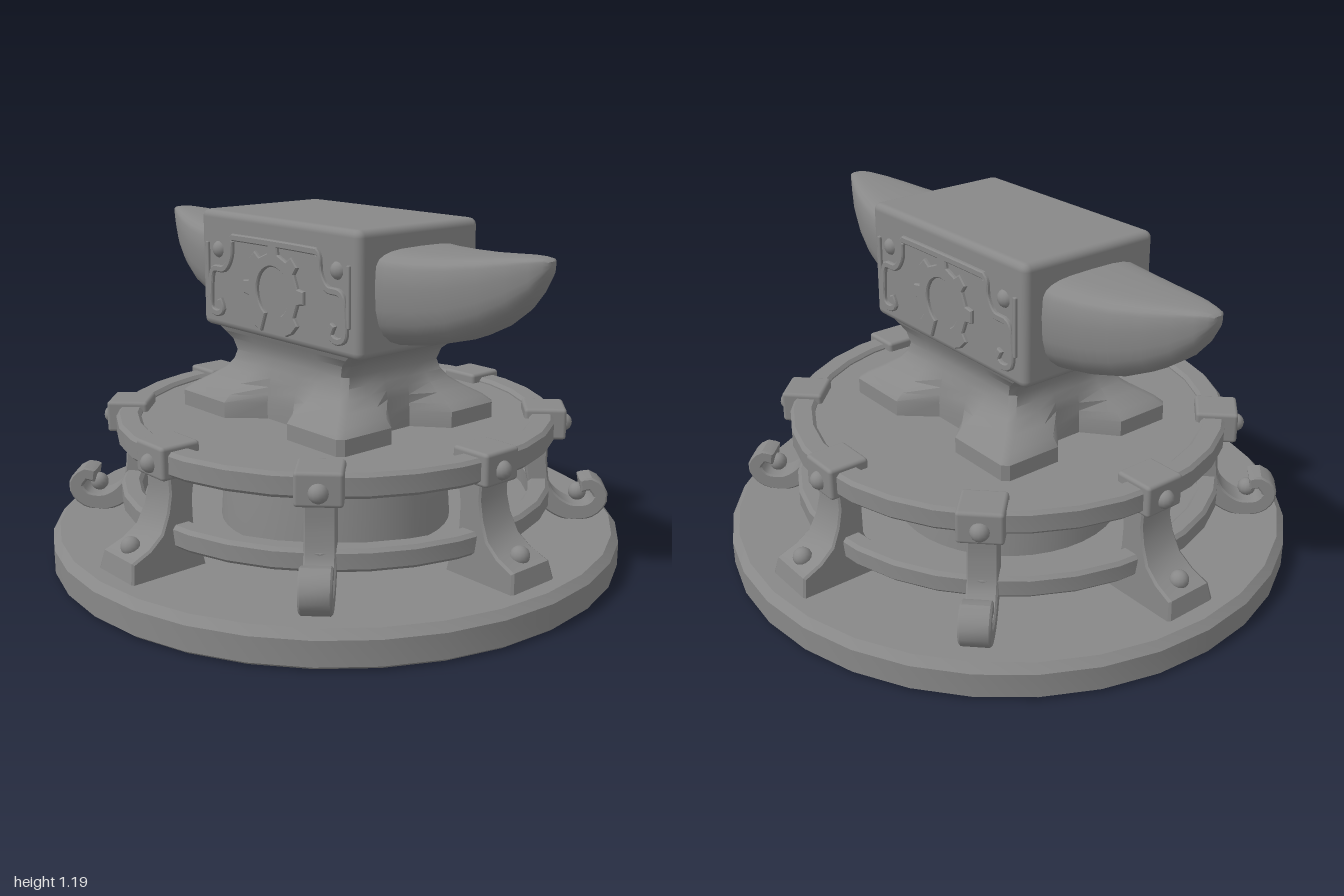
import * as THREE from 'three';
import { toCreasedNormals } from 'three/addons/utils/BufferGeometryUtils.js';
import { RoundedBoxGeometry } from 'three/addons/geometries/RoundedBoxGeometry.js';

const material = new THREE.MeshStandardMaterial({ color: 0x888888 });
const V2 = (p) => new THREE.Vector2(p[0], p[1]);

function add(parent, name, geometry, x = 0, y = 0, z = 0) {
  const mesh = new THREE.Mesh(geometry, material);
  mesh.name = name;
  mesh.position.set(x, y, z);
  parent.add(mesh);
  return mesh;
}

// Closed skin through equal-sized rings of points, capped at both ends
function loft(rings, crease) {
  const n = rings[0].length, pos = [], index = [];
  rings.forEach((ring) => ring.forEach((p) => pos.push(...p)));
  for (let k = 0; k < rings.length - 1; k++) {
    for (let i = 0; i < n; i++) {
      const a = k * n + i, a2 = k * n + (i + 1) % n;
      index.push(a, a + n, a2, a2, a + n, a2 + n);
    }
  }
  const last = (rings.length - 1) * n;
  [rings[0], rings[rings.length - 1]].forEach((ring, end) => {
    const c = pos.length / 3;
    pos.push(...[0, 1, 2].map((j) => ring.reduce((s, p) => s + p[j], 0) / n));
    for (let i = 0; i < n; i++) {
      const j = (i + 1) % n;
      if (end) index.push(c, last + j, last + i);
      else index.push(c, i, j);
    }
  });
  const g = new THREE.BufferGeometry();
  g.setAttribute('position', new THREE.Float32BufferAttribute(pos, 3));
  g.setIndex(index);
  return toCreasedNormals(g, crease);
}

// Flat ribbon outline following a smooth path, tapering from w0 to w1
function ribbon(points, w0, w1, steps = 32) {
  const curve = new THREE.SplineCurve(points.map(V2));
  const left = [], right = [];
  for (let i = 0; i <= steps; i++) {
    const t = i / steps, p = curve.getPointAt(t), d = curve.getTangentAt(t);
    const h = THREE.MathUtils.lerp(w0, w1, t) / 2;
    left.push(new THREE.Vector2(p.x - d.y * h, p.y + d.x * h));
    right.unshift(new THREE.Vector2(p.x + d.y * h, p.y - d.x * h));
  }
  return new THREE.Shape([...left, ...right]);
}

function extrude(shape, depth, bevel = 0.006) {
  const g = new THREE.ExtrudeGeometry(shape, {
    depth: depth - 2 * bevel, bevelEnabled: true, bevelSize: bevel,
    bevelThickness: bevel, bevelOffset: -bevel, bevelSegments: 1,
  });
  g.translate(0, 0, bevel - depth / 2);
  return toCreasedNormals(g, 0.6);
}

const turned = (profile, sides = 32) =>
  toCreasedNormals(new THREE.LatheGeometry(profile.map(V2), sides), 0.5);

function hoop(y0, y1, r0, r1) {
  const b = 0.012;
  return turned([[r0, y0], [r1 - b, y0], [r1, y0 + b], [r1, y1 - b], [r1 - b, y1],
    [r0 + b, y1], [r0, y1 - b], [r0, y0]]);
}

// Horseshoe-shaped cog: seven teeth, open at the bottom
function cogShape() {
  const pts = [], deg = Math.PI / 180;
  const polar = (a, r) => pts.push([Math.cos(a * deg) * r, Math.sin(a * deg) * r]);
  for (let k = 0; k < 7; k++) {
    const c = -45 + k * 45;
    polar(c - (k ? 12 : 20), k ? 0.13 : 0.155);
    polar(c - 8, 0.16);
    polar(c + 8, 0.16);
    polar(c + (k < 6 ? 12 : 20), k < 6 ? 0.13 : 0.155);
  }
  for (let i = 0; i <= 24; i++) polar(242 - i / 24 * 304, 0.085);
  return new THREE.Shape(pts.map(V2));
}

// Waist spreading into four feet parted by notches
function createWaist() {
  // height, half width, half depth, notch depth
  const levels = [[0.48, 0.43, 0.36, 0.11], [0.55, 0.43, 0.36, 0.11], [0.575, 0.405, 0.335, 0.088],
    [0.605, 0.362, 0.287, 0.046], [0.635, 0.326, 0.249, 0.014], [0.665, 0.304, 0.23, 0],
    [0.7, 0.295, 0.22, 0], [0.74, 0.31, 0.228, 0], [0.765, 0.34, 0.24, 0], [0.8, 0.385, 0.255, 0]];
  const rings = levels.map(([y, a, b, d]) => {
    const q = [[a - d, 0.05], [a, 0.14], [a, b - 0.02], [a - 0.02, b], [0.17, b], [0.07, b - d]];
    const r = [...q].reverse();
    return [...q, ...r.map(([x, z]) => [-x, z]), ...q.map(([x, z]) => [-x, -z]),
      ...r.map(([x, z]) => [x, -z])].map(([x, z]) => [x, y, z]);
  });
  return loft(rings, 0.75);
}

function createHorn() {
  // distance, half width, top, bottom
  const stations = [[0.36, 0.205, 1.125, 0.8], [0.45, 0.2, 1.118, 0.812], [0.55, 0.182, 1.118, 0.828],
    [0.65, 0.155, 1.122, 0.856], [0.75, 0.12, 1.13, 0.905], [0.83, 0.085, 1.137, 0.962],
    [0.89, 0.052, 1.14, 1.025], [0.925, 0.032, 1.138, 1.08], [0.936, 0.018, 1.13, 1.105]];
  const bend = (v, e) => Math.sign(v) * Math.abs(v) ** e;
  return loft(stations.map(([x, w, top, bottom]) => Array.from({ length: 24 }, (_, i) => {
    const a = i / 24 * Math.PI * 2, c = Math.cos(a);
    const mid = bottom + (top - bottom) * 0.65;
    const y = mid + bend(c, c > 0 ? 0.4 : 0.75) * (c > 0 ? top - mid : mid - bottom);
    return [x, y, -bend(Math.sin(a), 0.6) * w];
  })), 0.7);
}

export function createModel() {
  const model = new THREE.Group();
  model.name = 'anvilOnStand';

  // Stand
  add(model, 'base', turned([[0, 0], [0.985, 0], [1, 0.012], [1, 0.095], [0.975, 0.122], [0, 0.122]]));
  add(model, 'drum', turned([[0.41, 0.11], [0.4, 0.25], [0.375, 0.44]], 40));
  add(model, 'platform', turned([[0, 0.43], [0.695, 0.43], [0.695, 0.495], [0, 0.495]]));
  add(model, 'upperHoop', hoop(0.43, 0.512, 0.68, 0.765));
  add(model, 'lowerHoop', hoop(0.195, 0.27, 0.685, 0.757));

  // Eight legs: broad feet alternate with scrolled feet
  const ball = new THREE.SphereGeometry(0.032, 14, 10);
  const clamp = new RoundedBoxGeometry(0.145, 0.11, 0.15, 2, 0.012);
  const broadLeg = extrude(new THREE.Shape([[0.65, 0.43], [0.665, 0.34], [0.668, 0.26], [0.65, 0.2],
    [0.64, 0.115], [0.92, 0.115], [0.907, 0.185], [0.84, 0.212], [0.79, 0.25], [0.762, 0.31],
    [0.748, 0.37], [0.75, 0.43]].map(V2)), 0.13);
  const p = broadLeg.attributes.position;
  for (let i = 0; i < p.count; i++) {
    const t = THREE.MathUtils.clamp((0.43 - p.getY(i)) / 0.31, 0, 1);
    p.setZ(i, p.getZ(i) * (1 + 0.55 * t * t));
  }
  const scrollLeg = extrude(ribbon([[0.705, 0.44], [0.708, 0.32], [0.735, 0.215], [0.815, 0.152], [0.9, 0.155],
    [0.937, 0.205], [0.905, 0.25], [0.865, 0.243]], 0.085, 0.045), 0.1);
  for (let k = 0; k < 8; k++) {
    const leg = new THREE.Group();
    const broad = k % 2 === 0;
    const clampRadius = broad ? 0.708 : 0.73;
    leg.name = broad ? 'broadLeg' : 'scrollLeg';
    add(leg, 'legBody', broad ? broadLeg : scrollLeg);
    add(leg, 'clamp', clamp, clampRadius, 0.474, 0);
    add(leg, 'clampRivet', ball, clampRadius + 0.068, 0.465, 0);
    if (broad) add(leg, 'footRivet', ball, 0.86, 0.208, 0);
    else add(leg, 'scrollEye', ball, 0.86, 0.21, 0);
    leg.rotation.y = k * Math.PI / 4;
    model.add(leg);
  }

  // Anvil
  add(model, 'waist', createWaist());
  add(model, 'block', new RoundedBoxGeometry(0.825, 0.41, 0.535, 2, 0.025), 0, 0.985, 0);
  const horn = createHorn();
  add(model, 'leftHorn', horn);
  add(model, 'rightHorn', horn).rotation.y = Math.PI;

  // Raised ornament on the front and back of the block
  const cog = extrude(cogShape(), 0.03, 0.004);
  const half = [[0.18, 1.108], [0.225, 1.1], [0.235, 1.04], [0.27, 0.995], [0.335, 0.985],
    [0.352, 0.92], [0.352, 0.85], [0.315, 0.833], [0.285, 0.85], [0.3, 0.885]];
  const border = [...half.map(([x, y]) => [-x, y]).reverse(), ...half];
  const borderGeometry = extrude(ribbon(border, 0.024, 0.024, 110), 0.03, 0.004);
  const edge = new RoundedBoxGeometry(0.016, 0.2, 0.03, 1, 0.004);
  for (const turn of [0, Math.PI]) {
    const ornament = new THREE.Group();
    ornament.name = turn ? 'backOrnament' : 'frontOrnament';
    add(ornament, 'cog', cog, 0, 0.948, 0.265);
    add(ornament, 'scrollBorder', borderGeometry, 0, 0, 0.265);
    for (const s of [-1, 1]) {
      add(ornament, 'rivet', ball, s * 0.31, 1.057, 0.254);
      add(ornament, 'sideTrim', edge, s * 0.368, 0.98, 0.262);
    }
    ornament.rotation.y = turn;
    model.add(ornament);
  }
  return model;
}
